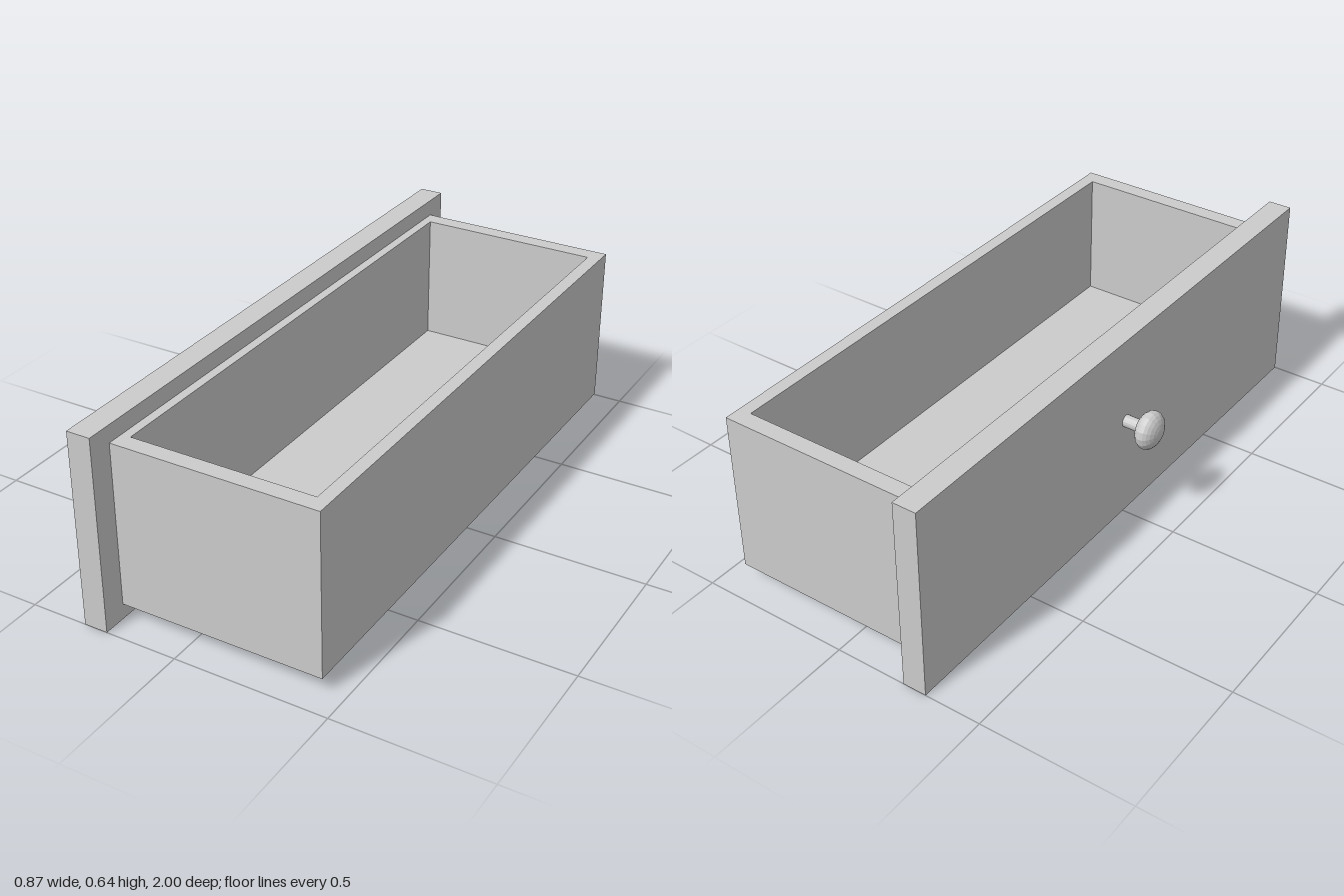
import * as THREE from 'three';

const material = new THREE.MeshStandardMaterial({ color: 0xcccccc });
const knobMaterial = new THREE.MeshStandardMaterial({ color: 0xcccccc, flatShading: true });

// Box given by its lower and upper corners
function box(name, min, max) {
  const [w, h, d] = max.map((v, i) => v - min[i]);
  const mesh = new THREE.Mesh(new THREE.BoxGeometry(w, h, d), material);
  mesh.position.set(...max.map((v, i) => (v + min[i]) / 2));
  mesh.name = name;
  return mesh;
}

function rectangle(PathType, x0, x1, halfZ) {
  return new PathType([
    new THREE.Vector2(x0, -halfZ), new THREE.Vector2(x1, -halfZ),
    new THREE.Vector2(x1, halfZ), new THREE.Vector2(x0, halfZ),
  ]);
}

export function createModel() {
  const drawer = new THREE.Group();
  drawer.name = 'drawer';

  const bottom = 0.05, top = 0.587, floorTop = 0.16;
  const outer = [-0.236, 0.435, 0.92];
  const inner = [-0.206, 0.392, 0.865];

  // Front panel, overhanging the tray on every side
  drawer.add(box('frontPanel', [-0.314, 0, -1], [-0.236, 0.642, 1]));

  // Four walls as one rectangular ring, extruded upwards
  const ring = rectangle(THREE.Shape, ...outer);
  ring.holes.push(rectangle(THREE.Path, ...inner));
  const wallGeometry = new THREE.ExtrudeGeometry(ring, { depth: top - bottom, bevelEnabled: false });
  wallGeometry.rotateX(-Math.PI / 2);
  const walls = new THREE.Mesh(wallGeometry, material);
  walls.position.y = bottom;
  walls.name = 'walls';
  drawer.add(walls);

  // Thick floor filling the ring
  drawer.add(box('floor', [inner[0], bottom, -inner[2]], [inner[1], floorTop, inner[2]]));

  // Knob: a stem and a flattened ball, both along x
  const knob = new THREE.Group();
  knob.name = 'knob';
  knob.position.set(-0.4, 0.349, 0);
  const stem = new THREE.Mesh(new THREE.CylinderGeometry(0.02, 0.02, 0.09, 16), knobMaterial);
  stem.rotation.z = Math.PI / 2;
  stem.position.x = 0.043;
  stem.name = 'knobStem';
  const ball = new THREE.Mesh(new THREE.SphereGeometry(0.063, 16, 12), knobMaterial);
  ball.rotation.z = Math.PI / 2;
  ball.scale.y = 0.61;
  ball.name = 'knobBall';
  knob.add(stem, ball);
  drawer.add(knob);

  return drawer;
}
